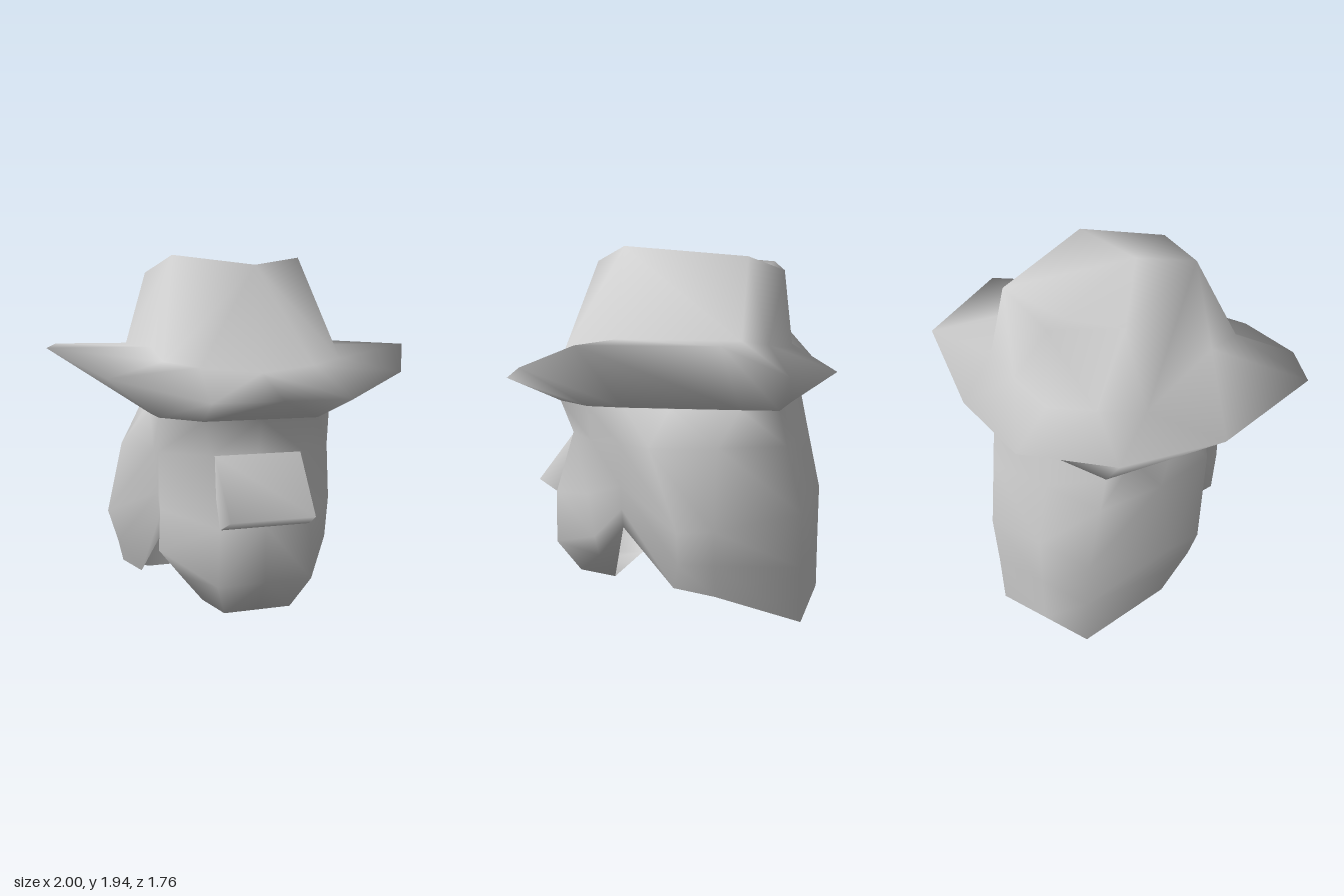
import * as THREE from 'three';
import { mergeVertices } from 'three/addons/utils/BufferGeometryUtils.js';

const mirror = (col) => col.map(([x, y, z]) => [-x, y, z]);

// Mirror the inner columns of a half (front to back) into a full ring
const fullRing = (half) => [...half, ...half.slice(1, -1).reverse().map(mirror)];

// Smooth skin over columns of points (top to bottom), columns running front -> left -> back -> right
function skin(columns, closed = false) {
  const n = columns.length, rows = columns[0].length, index = [];
  for (let c = 0; c < (closed ? n : n - 1); c++) {
    const k = (c + 1) % n;
    const side = columns[c][rows - 1][0] + columns[k][rows - 1][0];
    for (let r = 0; r < rows - 1; r++) {
      const a = c * rows + r, b = a + 1, d = k * rows + r, e = d + 1;
      // diagonals are mirrored so both halves match
      if (side >= 0) index.push(a, b, e, a, e, d);
      else index.push(a, b, d, b, e, d);
    }
  }
  let g = new THREE.BufferGeometry();
  g.setAttribute('position', new THREE.Float32BufferAttribute(columns.flat(2), 3));
  g.setIndex(index);
  g = mergeVertices(g, 1e-4);
  g.computeVertexNormals();
  return g;
}

export function createModel() {
  const group = new THREE.Group();
  const grey = new THREE.MeshStandardMaterial({ color: 0xcccccc, side: THREE.DoubleSide });
  grey.name = 'plain grey';
  const add = (name, geometry) => {
    const mesh = new THREE.Mesh(geometry, grey);
    mesh.name = name;
    group.add(mesh);
  };

  // Hat, half of it from front to back: crown top, crown base, brim rim, head opening
  const dent = [0, 1.88, 0.47], peak = [0.35, 1.94, 0.18], rear = [0, 1.82, -0.59];
  const hat = [
    [dent, [0, 1.35, 0.58], [0, 1.24, 0.88], [0, 1.12, 0.58]],
    [dent, [0.3, 1.38, 0.53], [0.35, 1.24, 0.88], [0.3, 1.12, 0.58]],
    [peak, [0.47, 1.41, 0.47], [0.77, 1.34, 0.58], [0.47, 1.12, 0.35]],
    [peak, [0.47, 1.47, 0.18], [1, 1.47, 0.18], [0.47, 1.12, 0.15]],
    [[0.35, 1.88, -0.47], [0.47, 1.47, -0.47], [0.88, 1.47, -0.47], [0.385, 1.12, -0.45]],
    [rear, [0.25, 1.44, -0.56], [0.47, 1.3, -0.71], [0.35, 1.12, -0.64]],
    [rear, [0, 1.41, -0.64], [0, 1.29, -0.88], [0, 1.12, -0.64]],
  ];
  // A shallow valley runs along the middle of the crown
  const withValley = hat.map((col) => {
    const z = col[0][2];
    return [[0, 1.88 + (z - 0.47) * 0.0566, z], ...col];
  });
  add('hat', skin(fullRing(withValley), true));

  // Face covering, from the centre to its left edge
  const mask = [
    [[0, 1.12, 0.58], [0, 0.94, 0.53], [0, 0.59, 0.645], [0, 0.3, 0.645], [0, 0.12, 0.53], [0, 0.12, 0.3]],
    [[0.3, 1.12, 0.58], [0.25, 0.94, 0.53], [0.24, 0.59, 0.645], [0.25, 0.3, 0.645], [0.18, 0.12, 0.53], [0.23, 0.12, 0.3]],
    [[0.47, 1.12, 0.35], [0.47, 0.94, 0.33], [0.47, 0.65, 0.36], [0.47, 0.42, 0.32], [0.36, 0.28, 0.34], [0.23, 0.12, 0.3]],
    [[0.47, 1.12, 0.15], [0.46, 0.93, 0.18], [0.44, 0.7, 0.18], [0.43, 0.57, 0.18], [0.42, 0.47, 0.175], [0.42, 0.47, 0.175]],
  ];
  // Long hair, from behind the face edge to the middle of the back
  const hair = [
    [[0.44, 1.12, -0.1], [0.59, 0.94, -0.03], [0.645, 0.53, -0.19], [0.59, 0.35, -0.18], [0.47, 0.18, -0.12]],
    [[0.385, 1.12, -0.45], [0.5, 0.94, -0.36], [0.57, 0.53, -0.36], [0.555, 0.35, -0.36], [0.53, 0.18, -0.36]],
    [[0.35, 1.12, -0.64], [0.34, 0.94, -0.68], [0.32, 0.59, -0.76], [0.3, 0.3, -0.76], [0.29, 0, -0.76]],
    [[0, 1.12, -0.64], [0, 0.94, -0.68], [0, 0.59, -0.76], [0, 0.3, -0.76], [0, 0, -0.76]],
  ].map((col) => [...col, col[4]]);
  add('headAndHair', skin(fullRing([...mask, ...hair]), true));

  // Wedge over the nose
  const wedge = [
    [[0.23, 0.94, 0.53], [0.22, 0.65, 0.76], [0.23, 0.59, 0.645]],
    [[0.25, 0.94, 0.53], [0.245, 0.74, 0.59], [0.24, 0.59, 0.64]],
  ];
  add('noseWedge', skin([...wedge.slice().reverse().map(mirror), ...wedge]));

  return group;
}
